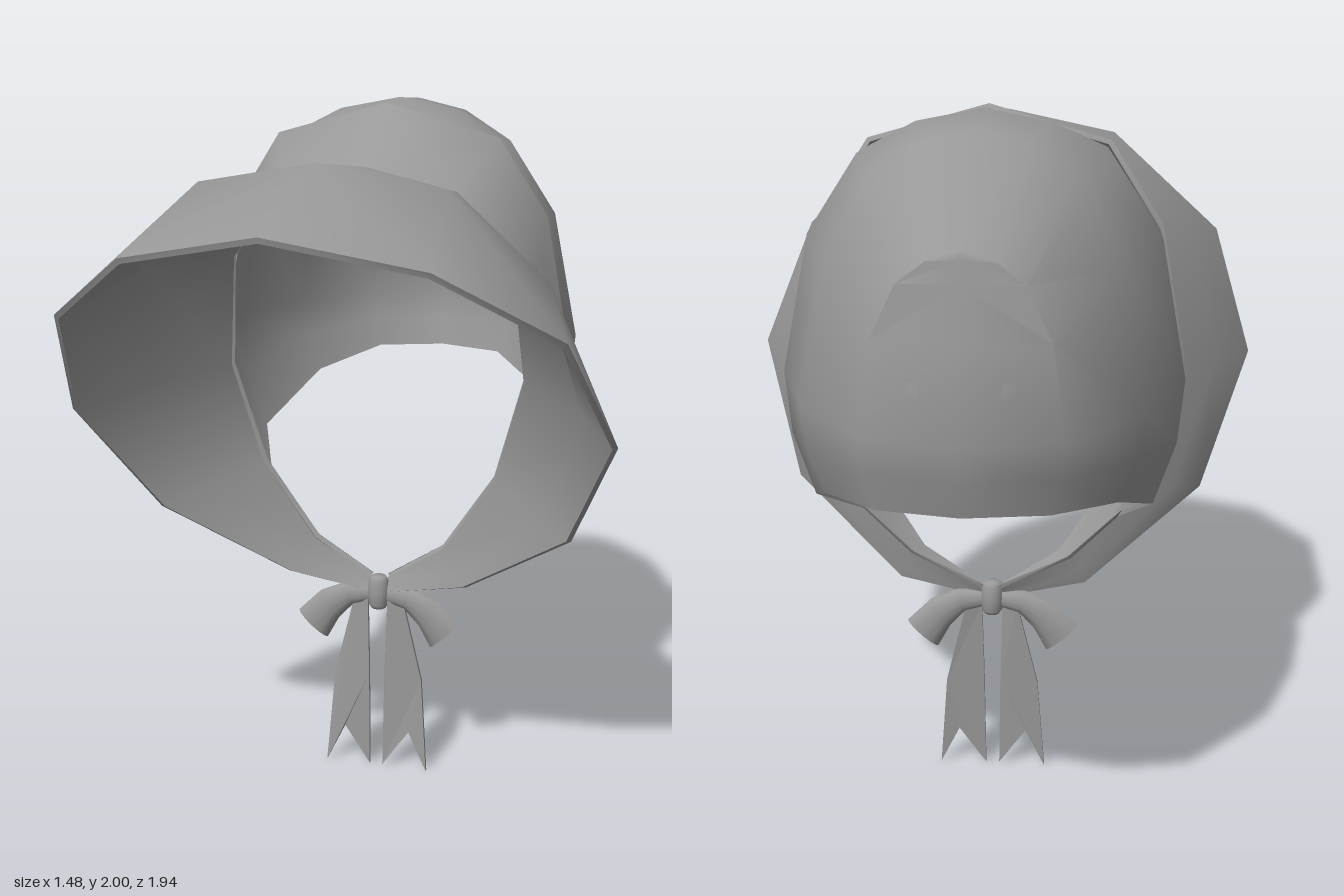
import * as THREE from 'three';
import { toCreasedNormals } from 'three/addons/utils/BufferGeometryUtils.js';

const material = new THREE.MeshStandardMaterial({ color: 0x999999, side: THREE.DoubleSide });

// Skin a list of equally long point rows, with diagonals mirrored left to right
function skin(rows) {
  const n = rows[0].length, index = [];
  for (let r = 0; r < rows.length - 1; r++) {
    for (let i = 0; i < n - 1; i++) {
      const a = r * n + i, b = a + n;
      if (i < (n - 1) / 2) index.push(a, b, a + 1, a + 1, b, b + 1);
      else index.push(a, b, b + 1, a, b + 1, a + 1);
    }
  }
  const g = new THREE.BufferGeometry();
  g.setAttribute('position', new THREE.Float32BufferAttribute(rows.flat(2), 3));
  g.setIndex(index);
  g.computeVertexNormals();
  return g;
}

// Mirror half arches (top centre to lower +x end), then thicken the cloth inwards
function cloth(halfArches, thickness = 0.015) {
  const outer = halfArches.map(h => [...h.slice(1).reverse().map(([x, y, z]) => [-x, y, z]), ...h]);
  const normal = skin(outer).attributes.normal, n = outer[0].length;
  const inner = outer.map((row, r) => row.map(([x, y, z], i) => {
    const k = r * n + i;
    return [x === 0 ? 0 : x - thickness * normal.getX(k),
      y - thickness * normal.getY(k), z - thickness * normal.getZ(k)];
  }));
  return toCreasedNormals(skin([...outer, ...inner.reverse(), outer[0]]), 0.8);
}

function mesh(name, geometry) {
  const m = new THREE.Mesh(geometry, material);
  m.name = name;
  return m;
}

// One arch of the crown: depth, half width, top and bottom height, backward bulge at the sides and lip
function crownArch(z, w, top, bottom, bulge, lip) {
  const mid = 1.32;
  const upper = [[0, 1], [0.33, 0.95], [0.62, 0.83], [0.87, 0.53], [1, 0]];
  const arch = upper.map(([u, v]) => [u * w, mid + v * (top - mid), z - bulge * (1 - v)]);
  arch.push([0.97 * w, (mid + bottom) / 2, z - (bulge + lip) / 2], [0.86 * w, bottom, z - lip]);
  return arch;
}

export function createModel() {
  const group = new THREE.Group();

  // Arches shared by the brim and the band
  const neck = [[0, 1.84, 0.07], [0.25, 1.78, 0.06], [0.41, 1.58, 0.02], [0.44, 1.25, -0.03],
    [0.355, 0.95, -0.06], [0.2, 0.715, -0.08], [0.03, 0.6, -0.09]];
  const middle = [[0, 1.9, 0.54], [0.32, 1.84, 0.49], [0.55, 1.6, 0.35], [0.63, 1.22, 0.15],
    [0.51, 0.88, 0.03], [0.25, 0.65, -0.06], [0.03, 0.585, -0.08]];
  const rim = [[0, 1.785, 0.97], [0.37, 1.71, 0.89], [0.645, 1.52, 0.67], [0.742, 1.2, 0.395],
    [0.6, 0.85, 0.14], [0.27, 0.61, -0.05], [0.03, 0.565, -0.07]];
  const bandBack = [[0, 1.995, -0.15], [0.32, 1.905, -0.16], [0.46, 1.69, -0.172], [0.53, 1.32, -0.172],
    [0.455, 0.95, -0.145], [0.23, 0.71, -0.11], [0.03, 0.6, -0.095]];
  group.add(mesh('brim', cloth([neck, middle, rim])));
  group.add(mesh('band', cloth([bandBack, neck])));

  // Rounded crown, open underneath, its front edge tucked into the band
  const crownFront = [[0, 1.978, -0.155], [0.17, 1.945, -0.158], [0.31, 1.888, -0.163],
    [0.45, 1.68, -0.172], [0.518, 1.32, -0.172], [0.445, 0.97, -0.148], [0.36, 0.85, -0.128]];
  group.add(mesh('crown', cloth([
    crownArch(-0.88, 0, 1.76, 1.14, 0.09, 0.04),
    crownArch(-0.88, 0.24, 1.755, 1.135, 0.012, -0.01),
    crownArch(-0.56, 0.422, 1.98, 1.09, 0.1, 0.09),
    crownArch(-0.29, 0.526, 2.0, 0.975, 0.06, 0.06),
    crownFront,
  ])));

  // Knot of the bow
  const knotProfile = [[0, -0.052], [0.022, -0.05], [0.03, -0.038], [0.034, 0], [0.03, 0.038], [0.022, 0.05], [0, 0.052]];
  const knot = mesh('bowKnot', new THREE.LatheGeometry(knotProfile.map(p => new THREE.Vector2(...p)), 12));
  knot.position.set(0, 0.563, -0.07);
  group.add(knot);

  // Bow loops: flattened tubes that widen outwards, given by upper and lower edge
  const stations = [[0.015, 0.585, 0.015, 0.535, 0.014], [0.1, 0.585, 0.08, 0.515, 0.022],
    [0.18, 0.55, 0.125, 0.465, 0.027], [0.25, 0.48, 0.16, 0.4, 0.024], [0.205, 0.44, 0.205, 0.44, 0]];
  const tailOutline = [[0.03, 0.54], [0.024, 0.3], [0.02, 0.005], [0.1, 0.12],
    [0.157, 0], [0.135, 0.29], [0.075, 0.54]];

  for (const [side, s] of [['left', 1], ['right', -1]]) {
    const rows = stations.map(([x1, y1, x2, y2, depth]) => Array.from({ length: 13 }, (_, i) => {
      const a = -s * i / 12 * Math.PI * 2, c = Math.cos(a) / 2;
      return [s * ((x1 + x2) / 2 + c * (x1 - x2)), (y1 + y2) / 2 + c * (y1 - y2),
        -0.07 + Math.sin(a) * depth];
    }));
    group.add(mesh(side + 'BowLoop', toCreasedNormals(skin(rows), 0.9)));

    // Notched ribbon tail, slightly twisted towards the knot
    const shape = new THREE.Shape(tailOutline.map(([x, y]) => new THREE.Vector2(s * x, y)));
    const tail = new THREE.ExtrudeGeometry(shape, { depth: 0.012, bevelEnabled: false });
    const p = tail.attributes.position;
    for (let i = 0; i < p.count; i++) {
      p.setZ(i, p.getZ(i) - 0.052 - p.getY(i) * (0.02 + 0.4 * Math.abs(p.getX(i))));
    }
    tail.computeVertexNormals();
    group.add(mesh(side + 'RibbonTail', tail));
  }
  return group;
}
